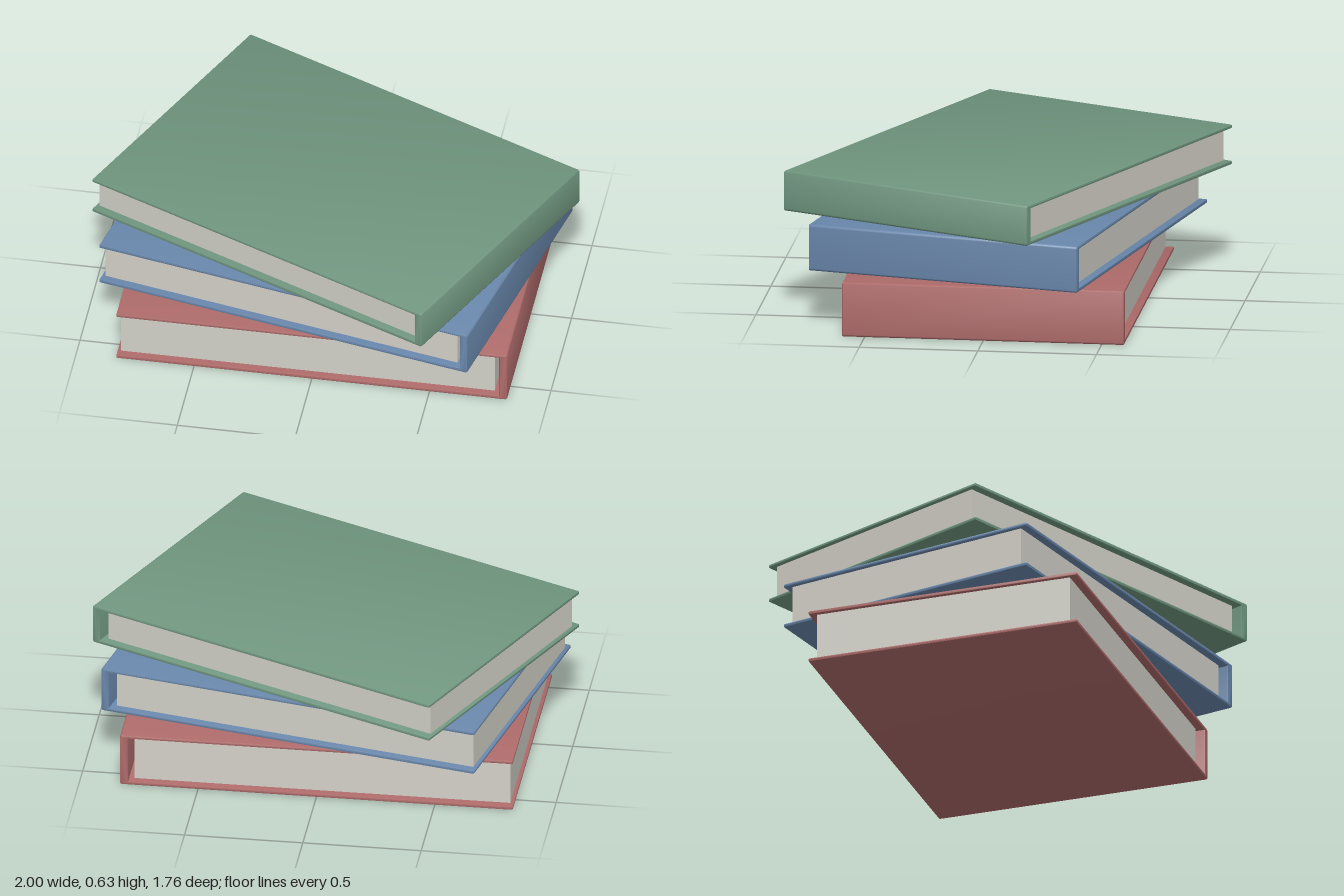
import * as THREE from 'three';
import { toCreasedNormals } from 'three/addons/utils/BufferGeometryUtils.js';

const HALF_W = 0.83, HALF_D = 0.595; // cover half width and half depth
const BOARD = 0.016, SPINE = 0.035;  // board and spine thickness
const BEVEL = 0.006;

const paint = (name, color) => {
  const m = new THREE.MeshStandardMaterial({ color });
  m.name = name;
  return m;
};

// C-shaped section: two boards joined by a spine, rounded at the outer corners
function coverGeometry(height) {
  const points = [ // x, y, corner radius
    [-HALF_W, 0, 0.007], [HALF_W, 0, 0.011],
    [HALF_W, height, 0.011], [-HALF_W, height, 0.007],
    [-HALF_W, height - BOARD, 0.007], [HALF_W - SPINE, height - BOARD, 0],
    [HALF_W - SPINE, BOARD, 0], [-HALF_W, BOARD, 0.007],
  ];
  const shape = new THREE.Shape();
  points.forEach(([x, y, r], i) => {
    const here = new THREE.Vector2(x, y);
    const toward = (k) => {
      const p = points[(i + k + points.length) % points.length];
      return new THREE.Vector2(p[0], p[1]).sub(here).setLength(r).add(here);
    };
    const a = r ? toward(-1) : here;
    if (i === 0) shape.moveTo(a.x, a.y);
    else shape.lineTo(a.x, a.y);
    if (r) {
      const b = toward(1);
      shape.quadraticCurveTo(x, y, b.x, b.y);
    }
  });
  shape.closePath();
  const depth = 2 * (HALF_D - BEVEL);
  const geometry = new THREE.ExtrudeGeometry(shape, {
    depth, curveSegments: 4, bevelEnabled: true, bevelSegments: 2,
    bevelSize: BEVEL, bevelThickness: BEVEL, bevelOffset: -BEVEL,
  });
  geometry.translate(0, 0, -depth / 2);
  return toCreasedNormals(geometry, 0.7);
}

// One closed book lying flat, spine toward +x
function makeBook(name, bottom, height, angle, coverMaterial, pageMaterial) {
  const book = new THREE.Group();
  book.name = name;

  const cover = new THREE.Mesh(coverGeometry(height), coverMaterial);
  cover.name = 'cover';

  // Page block, set back from the cover edges and the spine
  const left = -0.815, right = 0.772;
  const pages = new THREE.Mesh(
    new THREE.BoxGeometry(right - left, height - 2 * BOARD, 1.12), pageMaterial);
  pages.name = 'pages';
  pages.position.set((left + right) / 2, height / 2, 0);

  book.add(cover, pages);
  book.position.y = bottom;
  book.rotation.y = -THREE.MathUtils.degToRad(angle);
  return book;
}

export function createModel() {
  const stack = new THREE.Group();
  stack.name = 'bookStack';
  const paper = paint('paper', 0xd2d0c7);

  // Each book is turned a further twelve degrees
  stack.add(
    makeBook('bottomBook', 0, 0.233, 0, paint('red cloth', 0xac6a69), paper),
    makeBook('middleBook', 0.245, 0.199, 12, paint('blue cloth', 0x6886aa), paper),
    makeBook('topBook', 0.457, 0.172, 24, paint('green cloth', 0x70967f), paper),
  );
  return stack;
}
